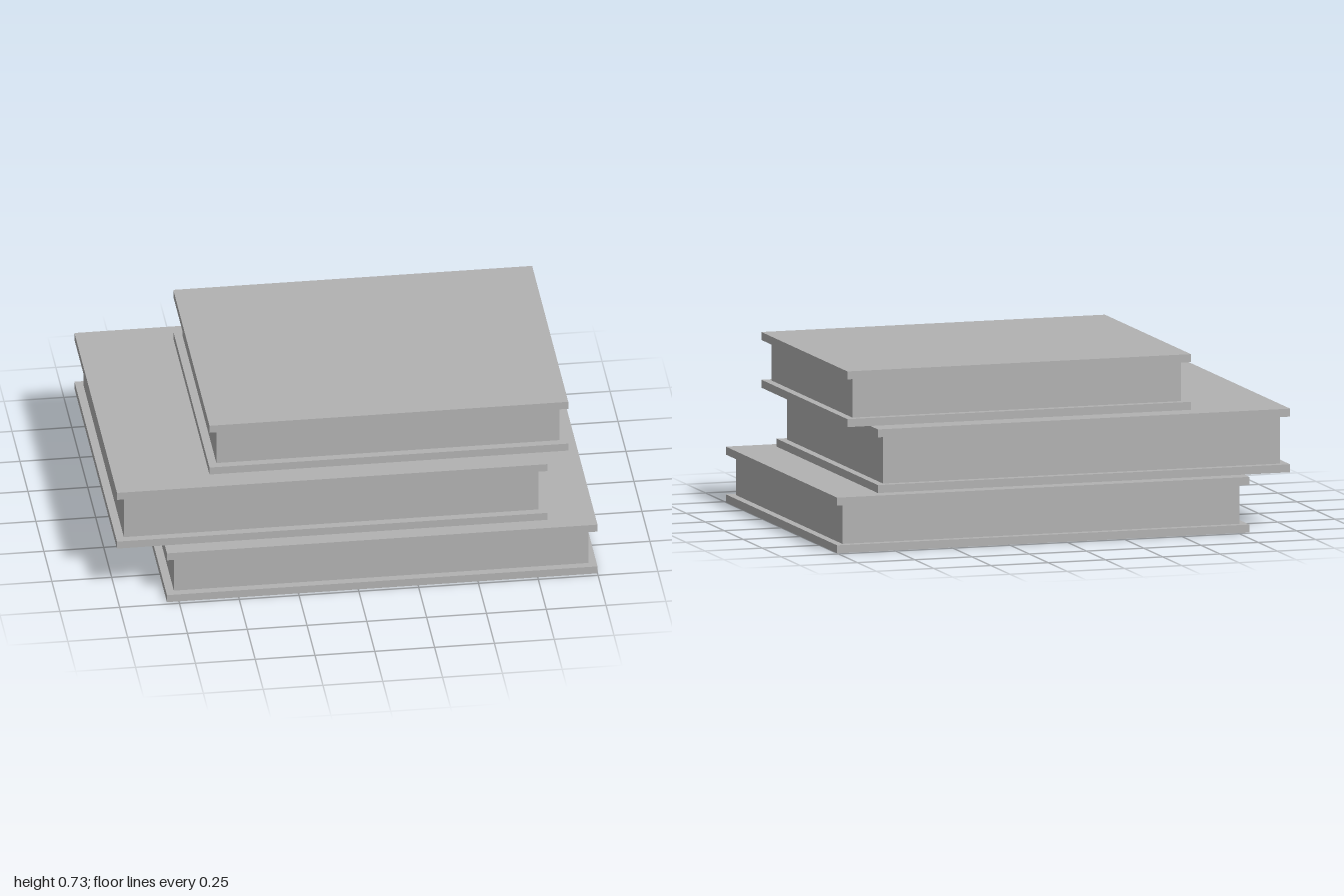
import * as THREE from 'three';

const COVER = 1 / 30; // board thickness, also the overhang around the pages

// One closed book: two boards with an inset page block between them
function makeBook({ name, x, y, width, height, depth }, material) {
  const book = new THREE.Group();
  book.name = name;
  const addSlab = (partName, w, h, d, bottom) => {
    const slab = new THREE.Mesh(new THREE.BoxGeometry(w, h, d), material);
    slab.name = partName;
    slab.position.y = bottom + h / 2;
    book.add(slab);
  };
  addSlab('bottomCover', width, COVER, depth, 0);
  addSlab('pages', width - 2 * COVER, height - 2 * COVER, depth - 2 * COVER, COVER);
  addSlab('topCover', width, COVER, depth, height - COVER);
  book.position.set(x, y, 0);
  return book;
}

export function createModel() {
  const gray = new THREE.MeshStandardMaterial({ color: 0xb2b2b2 });
  gray.name = 'gray';

  const stack = new THREE.Group();
  stack.name = 'bookStack';

  // Books from the bottom up, shifted sideways from each other
  const books = [
    { name: 'bottomBook', x: 0.1, width: 1.8, height: 7 / 30, depth: 22 / 15 },
    { name: 'middleBook', x: -0.1, width: 1.8, height: 8 / 30, depth: 20 / 15 },
    { name: 'topBook', x: 0.15, width: 1.5, height: 7 / 30, depth: 17 / 15 },
  ];
  let y = 0;
  for (const spec of books) {
    stack.add(makeBook({ ...spec, y }, gray));
    y += spec.height;
  }
  return stack;
}
